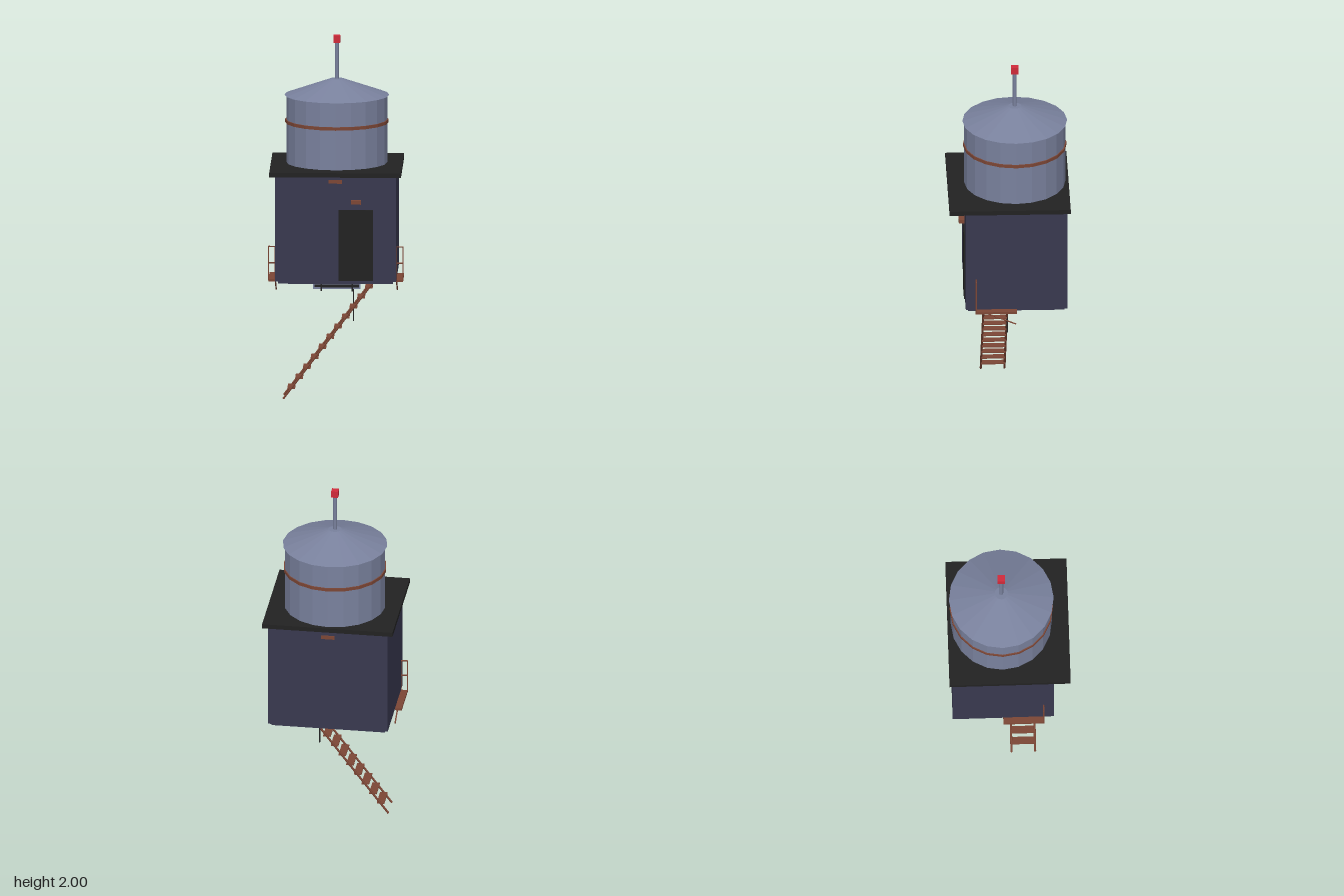
import * as THREE from 'three';

const mat = (name, color) => {
  const m = new THREE.MeshStandardMaterial({ color });
  m.name = name;
  m.flatShading = true;
  return m;
};

export function createModel() {
  const model = new THREE.Group();
  model.name = 'waterTower';
  const steel = mat('blueGreySteel', 0x79819d);
  const navy = mat('navyWall', 0x38384f);
  const black = mat('blackTrim', 0x222222);
  const rust = mat('rustBrown', 0x7c4635);
  const red = mat('signalRed', 0xd02a3a);

  const add = (name, geo, material, x, y, z) => {
    const mesh = new THREE.Mesh(geo, material);
    mesh.name = name;
    mesh.position.set(x, y, z);
    model.add(mesh);
    return mesh;
  };
  // Box given by its lower and upper limits on each axis
  const box = (name, material, x0, x1, y0, y1, z0, z1) =>
    add(name, new THREE.BoxGeometry(x1 - x0, y1 - y0, z1 - z0), material,
      (x0 + x1) / 2, (y0 + y1) / 2, (z0 + z1) / 2);
  // Thin round rod between two points
  const rod = (name, material, a, b, r) => {
    const from = new THREE.Vector3(...a), to = new THREE.Vector3(...b);
    const dir = to.clone().sub(from);
    const mesh = add(name, new THREE.CylinderGeometry(r, r, dir.length(), 6), material,
      ...from.add(to).multiplyScalar(0.5).toArray());
    mesh.quaternion.setFromUnitVectors(new THREE.Vector3(0, 1, 0), dir.normalize());
  };
  const zc = -0.037; // centre line of cabin and tank

  // Cabin and flat roof
  box('cabin', navy, -0.333, 0.333, 0.675, 1.275, -0.315, 0.243);
  box('cabinFloor', navy, -0.315, 0.315, 0.66, 0.675, -0.3, 0.23);
  box('roofSlab', black, -0.362, 0.362, 1.27, 1.295, -0.333, 0.333);

  // Door, lamp and wall plates
  box('door', black, 0.016, 0.206, 0.68, 1.075, 0.242, 0.249);
  box('doorLamp', rust, 0.085, 0.14, 1.11, 1.132, 0.243, 0.275);
  box('frontPlate', rust, -0.037, 0.037, 1.222, 1.242, 0.24, 0.249);
  box('backPlate', rust, -0.037, 0.037, 1.222, 1.242, -0.321, -0.312);

  // Tank, band, conical lid and mast
  const drum = (name, m, rt, rb, y0, y1, n, open = false) =>
    add(name, new THREE.CylinderGeometry(rt, rb, y1 - y0, n, 1, open), m, 0, (y0 + y1) / 2, zc);
  drum('tank', steel, 0.278, 0.278, 1.295, 1.672, 20);
  drum('tankBand', rust, 0.284, 0.284, 1.517, 1.535, 20);
  drum('tankLid', steel, 0.036, 0.288, 1.67, 1.76, 20);
  drum('mast', steel, 0.011, 0.011, 1.75, 1.965, 8);
  box('beacon', red, -0.019, 0.019, 1.962, 2, zc - 0.02, zc + 0.02);

  // Side catwalks with end railings and braces
  for (const s of [-1, 1]) {
    const inner = 0.333 * s, outer = 0.37 * s;
    box('catwalk', rust, Math.min(inner, outer), Math.max(inner, outer), 0.666, 0.678, -0.037, 0.19);
    for (const x of [inner, outer]) rod('railPost', rust, [x, 0.67, 0.186], [x, 0.862, 0.186], 0.004);
    for (const y of [0.77, 0.86]) rod('rail', rust, [inner, y, 0.186], [outer, y, 0.186], 0.004);
    rod('catwalkBrace', rust, [inner, 0.667, 0.16], [inner, 0.585, -0.033], 0.004);
  }

  // Ladder slanting down to the ground
  const lx = (y) => -0.293 + y * 0.76;
  for (const z of [0.01, 0.14]) rod('ladderRail', rust, [lx(0.004), 0.004, z], [lx(0.665), 0.665, z], 0.006);
  for (let i = 0; i < 11; i++) {
    const y = 0.062 + i * 0.056;
    box('ladderTread', rust, lx(y) - 0.021, lx(y) + 0.021, y - 0.003, y + 0.003, 0.01, 0.14);
  }

  // Equipment box under the floor, with guard bars and a hanging cable
  box('underBox', steel, -0.13, 0.13, 0.594, 0.665, -0.035, 0.012);
  for (const y of [0.612, 0.642]) box('guardBar', black, -0.122, 0.122, y - 0.007, y + 0.007, 0.012, 0.019);
  for (const x of [-0.085, 0.085]) box('guardPost', black, x - 0.004, x + 0.004, 0.583, 0.662, 0.01, 0.018);
  rod('cable', black, [0.092, 0.415, 0.006], [0.092, 0.662, 0.006], 0.004);
  return model;
}
